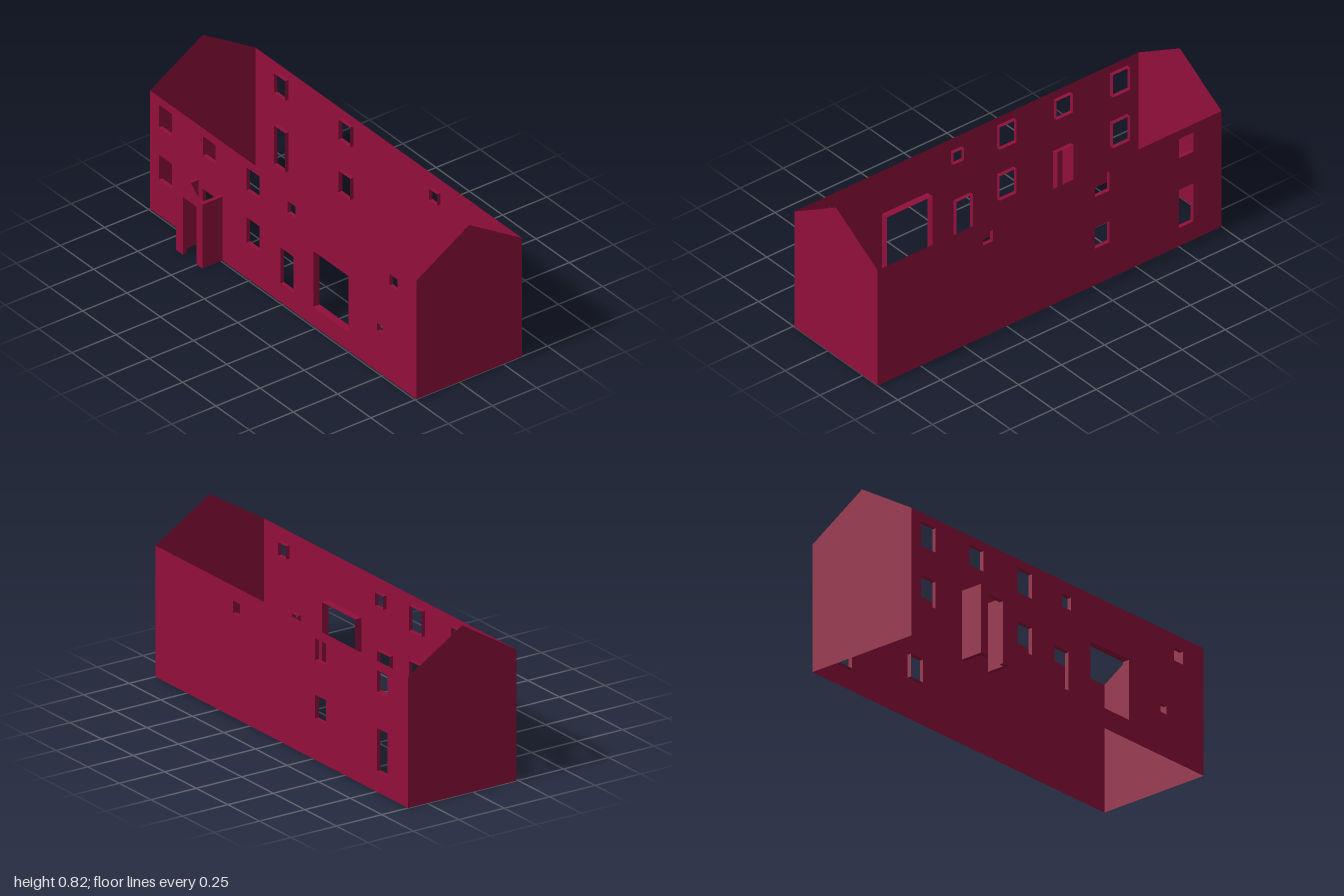
import * as THREE from 'three';

const W = 1, FRONT = 0.242, BACK = -0.355, EAVE = 0.636, RIDGE = 0.82;

// Openings: [x0, x1, y0, y1, reveal depth]
const frontOpenings = [
  [-0.935, -0.835, 0.47, 0.593], [-0.602, -0.508, 0.49, 0.593],
  [-0.275, -0.177, 0.47, 0.593], [0.03, 0.091, 0.505, 0.57],
  [0.796, 0.859, 0.505, 0.57], [-0.935, -0.835, 0.19, 0.325],
  [-0.275, -0.177, 0.19, 0.325], [-0.022, 0.075, 0.1, 0.293],
  [0.226, 0.49, 0.1, 0.4, 0.036], [0.705, 0.747, 0.217, 0.26],
  [-0.605, -0.503, 0.1, 0.31],
];
const backOpenings = [
  [-0.837, -0.752, 0.484, 0.59], [-0.349, -0.264, 0.484, 0.59],
  [0.329, 0.388, 0.503, 0.565], [-0.349, -0.264, 0.2, 0.315],
  [-0.837, -0.752, 0.1, 0.31],
];

function polygon(points, Type = THREE.Shape) {
  return new Type(points.map(([x, y]) => new THREE.Vector2(x, y)));
}

function rect([x0, x1, y0, y1], Type) {
  return polygon([[x0, y0], [x1, y0], [x1, y1], [x0, y1]], Type);
}

export function createModel() {
  const house = new THREE.Group();
  house.name = 'house';
  const crimson = new THREE.MeshStandardMaterial({ color: 0x920e3b, side: THREE.DoubleSide });
  crimson.name = 'crimson';

  function add(parent, name, geometry, x = 0, y = 0, z = 0) {
    const mesh = new THREE.Mesh(geometry, crimson);
    mesh.name = name;
    mesh.position.set(x, y, z);
    parent.add(mesh);
    return mesh;
  }

  // Long wall with cut openings, each lined by four thin reveals facing inward
  function longWall(name, z, inward, openings) {
    const group = new THREE.Group();
    group.name = name;
    const shape = rect([-W, W, 0, EAVE]);
    openings.forEach((o) => shape.holes.push(rect(o, THREE.Path)));
    const wall = add(group, name + 'Panel', new THREE.ShapeGeometry(shape), 0, 0, z);
    if (inward > 0) {
      wall.rotation.y = Math.PI;
      wall.scale.x = -1;
    }
    for (const [x0, x1, y0, y1, depth = 0.02] of openings) {
      const zc = z + inward * depth / 2;
      for (const x of [x0, x1]) {
        add(group, 'openingJamb', new THREE.PlaneGeometry(depth, y1 - y0), x, (y0 + y1) / 2, zc)
          .rotation.y = x === x0 ? Math.PI / 2 : -Math.PI / 2;
      }
      for (const y of [y0, y1]) {
        add(group, y === y0 ? 'openingSill' : 'openingHead',
          new THREE.PlaneGeometry(x1 - x0, depth), (x0 + x1) / 2, y, zc)
          .rotation.x = y === y0 ? -Math.PI / 2 : Math.PI / 2;
      }
    }
    house.add(group);
  }
  longWall('frontWall', FRONT, -1, frontOpenings);
  longWall('backWall', BACK, 1, backOpenings);

  // Gable end walls
  const mid = (FRONT + BACK) / 2, half = (FRONT - BACK) / 2;
  const gable = polygon([[-half, 0], [half, 0], [half, EAVE], [0, RIDGE], [-half, EAVE]]);
  for (const side of [-1, 1]) {
    add(house, side > 0 ? 'leftGable' : 'rightGable', new THREE.ShapeGeometry(gable), side * W, 0, mid)
      .rotation.y = side * Math.PI / 2;
  }

  // Open porch: front wall with doorway, two side walls and a thin gable on top
  const porch = new THREE.Group();
  porch.name = 'porch';
  house.add(porch);
  const x0 = -0.655, x1 = -0.458, d0 = -0.605, d1 = -0.503;
  const top = 0.343, head = 0.31, thick = 0.02, front = 0.355;
  const doorway = polygon([[x0, 0], [d0, 0], [d0, head], [d1, head], [d1, 0], [x1, 0], [x1, top], [x0, top]]);
  add(porch, 'porchFront',
    new THREE.ExtrudeGeometry(doorway, { depth: thick, bevelEnabled: false }), 0, 0, front - thick);
  const length = front - thick - FRONT;
  for (const x of [x0 + thick / 2, x1 - thick / 2]) {
    add(porch, 'porchSide', new THREE.BoxGeometry(thick, top, length), x, top / 2, FRONT + length / 2);
  }
  add(porch, 'porchGable',
    new THREE.ShapeGeometry(polygon([[x0, top], [x1, top], [(x0 + x1) / 2, 0.425]])), 0, 0, front);

  return house;
}
